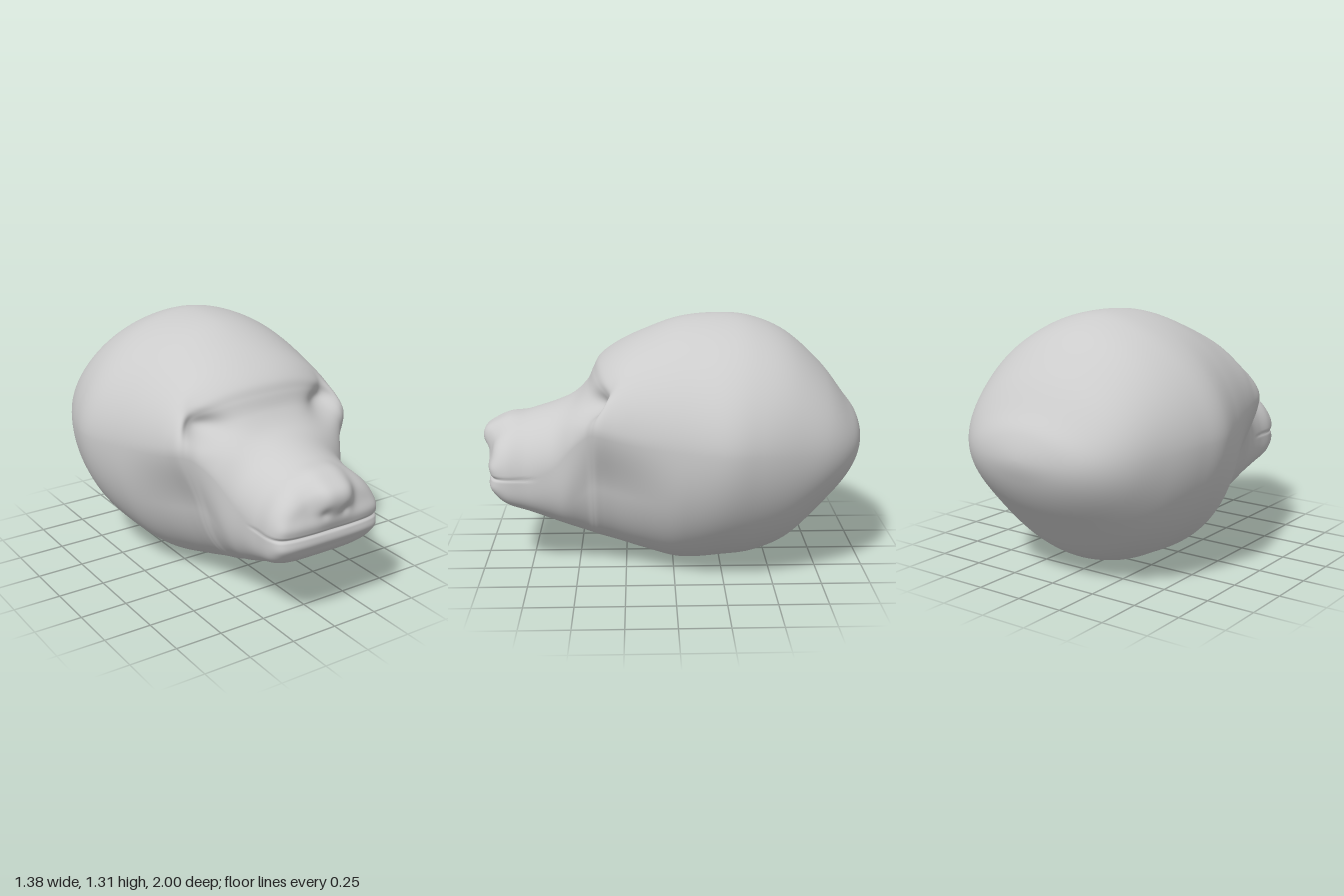
import * as THREE from 'three';

// Cross-sections from the back of the skull to the lips:
// z, half width, top y, widest y, bottom y, roundness above, roundness below
const SECTIONS = [
  [-1.0, 0, 0.68, 0.68, 0.68, 2, 2],
  [-0.97, 0.22, 0.8, 0.68, 0.57, 2, 2],
  [-0.9, 0.38, 0.9, 0.68, 0.45, 2, 2],
  [-0.78, 0.505, 1.055, 0.69, 0.31, 2, 2],
  [-0.6, 0.6, 1.215, 0.71, 0.12, 1.95, 1.95],
  [-0.42, 0.665, 1.295, 0.73, 0.035, 1.85, 1.9],
  [-0.25, 0.69, 1.315, 0.735, 0.012, 1.8, 1.9],
  [-0.04, 0.632, 1.295, 0.74, 0.004, 1.85, 2.05],
  [0.15, 0.574, 1.225, 0.75, 0.05, 2, 2.15],
  [0.29, 0.535, 1.155, 0.77, 0.095, 2.15, 2.3],
  [0.38, 0.515, 1.09, 0.79, 0.125, 2.25, 2.45],
  [0.415, 0.485, 1.03, 0.79, 0.137, 2.25, 2.5],
  [0.45, 0.44, 0.955, 0.76, 0.15, 2.1, 2.55],
  [0.52, 0.385, 0.885, 0.69, 0.18, 2, 2.7],
  [0.62, 0.33, 0.845, 0.57, 0.225, 2, 3],
  [0.75, 0.315, 0.805, 0.51, 0.29, 2, 3.5],
  [0.86, 0.315, 0.765, 0.51, 0.34, 2.15, 4],
  [0.92, 0.29, 0.715, 0.51, 0.39, 2.3, 4],
  [0.945, 0.23, 0.655, 0.51, 0.44, 2.3, 3.5],
  [0.955, 0.12, 0.58, 0.51, 0.48, 2.2, 3],
  [0.955, 0, 0.51, 0.51, 0.51, 2, 2],
];
const AROUND = 192, STEPS = 10;

const bump = (...d) => Math.exp(-d.reduce((s, v) => s + v * v, 0));
const smooth = THREE.MathUtils.smoothstep;

// Smooth blend between sections; the ends close as rounded caps
function sectionAt(u) {
  const last = SECTIONS.length - 1;
  const i = Math.min(Math.floor(u), last - 1), t = u - i;
  const key = (k, c) => {
    if (k >= 0 && k <= last) return SECTIONS[k][c];
    const end = k < 0 ? 0 : last, next = k < 0 ? 1 : last - 1;
    return c === 0 ? SECTIONS[next][c] : 2 * SECTIONS[end][c] - SECTIONS[next][c];
  };
  return SECTIONS[0].map((_, c) => {
    const [a, b, d, e] = [-1, 0, 1, 2].map((o) => key(i + o, c));
    return b + 0.5 * t * (d - a + t * (2 * a - 5 * b + 4 * d - e + t * (3 * (b - d) + e - a)));
  });
}

// Facial relief pressed into the plain head form
function sculpt(p, mid) {
  const { x, y, z } = p, ax = Math.abs(x);
  const face = smooth(z, 0.22, 0.36) * (1 - smooth(z, 0.6, 0.75));
  const front = smooth(z, 0.84, 0.93);
  // jaw tucked in below the cheekbones
  p.x *= 1 - 0.17 * smooth(z, -0.05, 0.4) * (1 - smooth(z, 0.36, 0.58)) * smooth(mid - y, -0.05, 0.3);
  // brow curving back towards the temples
  p.z -= 0.4 * x * x * bump((z - 0.4) / 0.1) * smooth(y, 0.85, 1) * (1 - smooth(ax, 0.38, 0.5));
  // eye sockets
  p.z -= 0.085 * face * bump((ax - 0.36) / 0.11, (y - 0.91) / 0.06);
  // ridge of the nose, its tip and nostrils
  p.y += 0.03 * smooth(z, 0.75, 0.9) * bump((x / 0.12) ** 2) * smooth(y, 0.6, 0.7);
  p.z += 0.06 * front * bump((x / 0.11) ** 2, (y - 0.67) / 0.07);
  p.z -= 0.012 * front * bump((ax - 0.06) / 0.03, (y - 0.61) / 0.025);
  // lips and the slit between them
  p.z += 0.012 * front * (bump((y - 0.56) / 0.04) + bump((y - 0.46) / 0.035));
  const slit = bump((y - 0.51) / 0.008) * smooth(z, 0.68, 0.78);
  p.x -= 0.006 * slit * Math.sign(x) * smooth(ax, 0.2, 0.3);
  p.z -= 0.01 * slit * front;
}

function headGeometry() {
  const positions = [], index = [], p = new THREE.Vector3();
  const rows = (SECTIONS.length - 1) * STEPS;
  for (let i = 0; i <= rows; i++) {
    const [z, w, top, mid, bottom, nTop, nBottom] = sectionAt(i / STEPS);
    for (let j = 0; j < AROUND; j++) {
      const angle = (j / AROUND) * Math.PI * 2;
      const upper = j <= AROUND / 2;
      const n = upper ? nTop : nBottom;
      const hw = Math.max(w, 1e-4), hh = Math.max(upper ? top - mid : mid - bottom, 1e-4);
      // even steps round the ellipse, pushed out to the squarer outline
      const c = Math.cos(angle), s = Math.sin(angle);
      const r = (Math.abs(c) ** n + Math.abs(s) ** n) ** (-1 / n);
      p.set(hw * r * c, mid + hh * r * s, z);
      sculpt(p, mid);
      positions.push(p.x, p.y, p.z);
      if (i < rows) {
        const a = i * AROUND + j, b = i * AROUND + ((j + 1) % AROUND);
        index.push(a, b, a + AROUND, b, b + AROUND, a + AROUND);
      }
    }
  }
  const geometry = new THREE.BufferGeometry();
  geometry.setAttribute('position', new THREE.Float32BufferAttribute(positions, 3));
  geometry.setIndex(index);
  geometry.computeVertexNormals();
  return geometry;
}

export function createModel() {
  const model = new THREE.Group();
  model.name = 'animalHead';
  const head = new THREE.Mesh(headGeometry(), new THREE.MeshStandardMaterial({ color: 0xcccccc }));
  head.name = 'head';
  model.add(head);
  return model;
}
